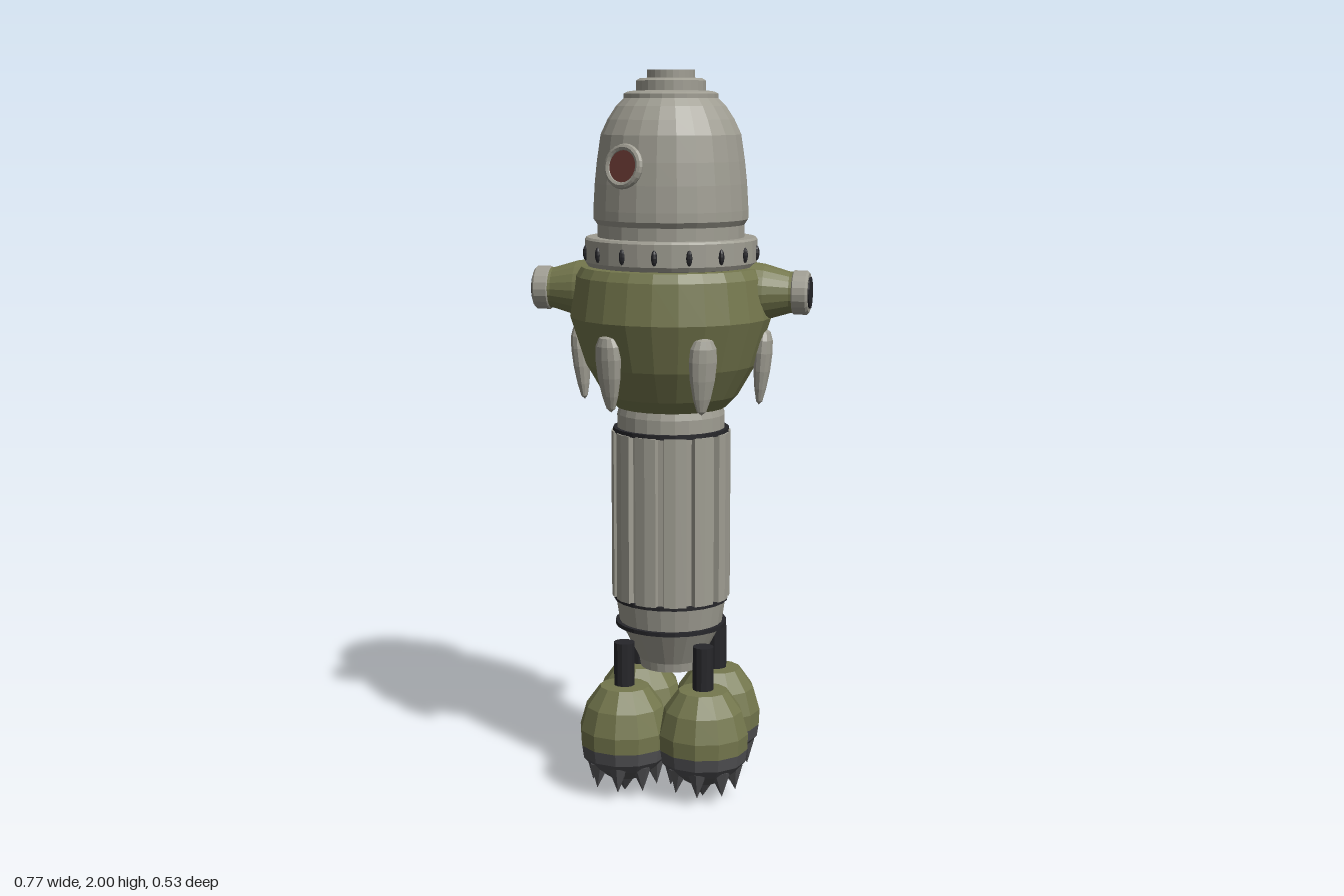
import * as THREE from 'three';

const mat = (name, color) => {
  const m = new THREE.MeshStandardMaterial({ color, flatShading: true });
  m.name = name;
  return m;
};

export function createModel() {
  const grey = mat('warm grey metal', 0x9f9d92);
  const olive = mat('olive paint', 0x74774d);
  const iron = mat('dark iron', 0x505053);
  const black = mat('black', 0x26262a);
  const maroon = mat('maroon glass', 0x6a3a34);

  const root = new THREE.Group();
  root.name = 'drillCapsule';
  root.scale.x = 1.045; // slightly oval in plan

  const add = (name, geo, material, parent = root) => {
    const m = new THREE.Mesh(geo, material);
    m.name = name;
    parent.add(m);
    return m;
  };
  // profile runs from bottom to top as [radius, y]
  const lathe = (pts, sides = 24) =>
    new THREE.LatheGeometry(pts.map(([r, y]) => new THREE.Vector2(r, y)), sides);
  const around = (n, start, fn) => {
    for (let i = 0; i < n; i++) fn(start + (i * Math.PI * 2) / n);
  };

  // Domed head with stepped cap
  add('head', lathe([[0.18, 1.55], [0.192, 1.555], [0.192, 1.59], [0.202, 1.605], [0.202, 1.63],
    [0.198, 1.7], [0.192, 1.76], [0.182, 1.83], [0.164, 1.87], [0.142, 1.905], [0.118, 1.93]]), grey);
  add('cap', lathe([[0.122, 1.926], [0.122, 1.938], [0.112, 1.943], [0.09, 1.946], [0.09, 1.972],
    [0.08, 1.978], [0.062, 1.979], [0.062, 2], [0, 2]]), grey);

  // Collar with studs
  add('collar', lathe([[0.2, 1.475], [0.218, 1.478], [0.225, 1.49], [0.225, 1.55], [0.22, 1.556], [0.18, 1.556]], 32), grey);
  around(16, 0, (a) => {
    const s = add('collarStud', new THREE.SphereGeometry(0.01, 8, 6), black);
    s.scale.set(0.8, 2.1, 0.8);
    s.position.set(Math.sin(a) * 0.225, 1.515, Math.cos(a) * 0.225);
    s.rotation.y = a;
  });

  // Portholes on opposite sides of the head
  for (const s of [1, -1]) {
    const p = new THREE.Group();
    p.name = 'porthole';
    const a = Math.atan2(-0.093 * s, 0.185 * s);
    p.rotation.set(-0.13, a, 0, 'YXZ');
    p.position.set(Math.sin(a) * 0.196, 1.75, Math.cos(a) * 0.196);
    root.add(p);
    add('portholeRim', new THREE.TorusGeometry(0.05, 0.01, 8, 24), grey, p);
    const glass = add('portholeGlass', new THREE.CylinderGeometry(0.046, 0.046, 0.009, 24), maroon, p);
    glass.rotation.x = Math.PI / 2;
    const seat = add('portholeSeat', new THREE.CylinderGeometry(0.052, 0.052, 0.03, 24), grey, p);
    seat.rotation.x = Math.PI / 2;
    seat.position.z = -0.016;
  }

  // Round olive body
  add('body', lathe([[0.1, 1.08], [0.145, 1.09], [0.178, 1.125], [0.225, 1.21], [0.265, 1.34],
    [0.249, 1.45], [0.235, 1.475], [0.15, 1.48]]), olive);

  // Side arms ending in nozzles
  for (const s of [1, -1]) {
    const arm = new THREE.Group();
    arm.name = s > 0 ? 'leftArm' : 'rightArm';
    arm.position.y = 1.41;
    arm.rotation.z = -s * Math.PI / 2;
    root.add(arm);
    add('armCone', lathe([[0.085, 0.19], [0.076, 0.25], [0.056, 0.315], [0.056, 0.325]], 20), olive, arm);
    add('nozzle', lathe([[0.03, 0.319], [0.052, 0.319], [0.06, 0.325], [0.06, 0.358], [0.054, 0.364], [0, 0.364]], 20), grey, arm);
    const mouth = add('nozzleMouth', new THREE.CylinderGeometry(0.043, 0.043, 0.008, 20), black, arm);
    mouth.position.y = 0.364;
  }

  // Six teardrop fins below the widest part of the body
  const finShape = lathe([[0, -0.105], [0.013, -0.095], [0.024, -0.06], [0.034, -0.01],
    [0.038, 0.04], [0.035, 0.075], [0.024, 0.097], [0, 0.105]], 12);
  around(6, Math.PI / 2, (a) => {
    const f = add('fin', finShape, grey);
    f.scale.z = 0.65;
    f.position.set(Math.sin(a) * 0.242, 1.205, Math.cos(a) * 0.242);
    f.rotation.set(0.07, a, 0, 'YXZ');
  });

  // Neck and fluted column
  add('neck', lathe([[0.143, 1.02], [0.143, 1.07], [0.135, 1.1]]), grey);
  add('upperBand', lathe([[0.1, 1.02], [0.154, 1.02], [0.154, 1.032], [0.1, 1.032]]), black);
  const flutes = new THREE.Shape();
  around(12, 0, (a) => {
    for (const [r, d] of [[0.143, -0.05], [0.143, 0.05], [0.157, 0.075], [0.159, 0.26], [0.157, Math.PI / 6 - 0.075]]) {
      const x = Math.cos(a + d) * r, y = Math.sin(a + d) * r;
      if (a === 0 && d === -0.05) flutes.moveTo(x, y);
      else flutes.lineTo(x, y);
    }
  });
  const column = add('flutedColumn', new THREE.ExtrudeGeometry(flutes, { depth: 0.47, bevelEnabled: false }), grey);
  column.rotation.x = -Math.PI / 2;
  column.position.y = 0.552;

  // Tapered base with thin bands
  add('middleBand', lathe([[0.1, 0.542], [0.153, 0.542], [0.153, 0.553], [0.1, 0.553]]), black);
  add('columnBase', lathe([[0, 0.345], [0.082, 0.345], [0.086, 0.37], [0.128, 0.455], [0.138, 0.475], [0.148, 0.545]]), grey);
  add('lowerBand', lathe([[0.1, 0.468], [0.15, 0.468], [0.15, 0.479], [0.1, 0.479]]), black);

  // Four drill pods at the corners, each with a strut and teeth
  const spike = new THREE.ConeGeometry(0.028, 0.07, 6);
  for (const sx of [1, -1]) for (const sz of [1, -1]) {
    const pod = new THREE.Group();
    pod.name = 'drillPod';
    pod.position.set(sx * 0.107, 0, sz * 0.106);
    root.add(pod);
    const strut = add('strut', new THREE.CylinderGeometry(0.028, 0.028, 0.16, 12), black, pod);
    strut.position.y = 0.355;
    add('podShell', lathe([[0.12, 0.145], [0.122, 0.19], [0.104, 0.255], [0.066, 0.31], [0, 0.314]], 12), olive, pod);
    add('podBit', lathe([[0, 0.04], [0.05, 0.05], [0.095, 0.085], [0.115, 0.11], [0.12, 0.147]], 12), iron, pod);
    const tip = add('centreTooth', new THREE.ConeGeometry(0.045, 0.07, 8), iron, pod);
    tip.rotation.x = Math.PI;
    tip.position.y = 0.035;
    around(8, 0, (a) => {
      const t = add('tooth', spike, iron, pod);
      t.position.set(Math.sin(a) * 0.084, 0.06, Math.cos(a) * 0.084);
      t.rotation.set(Math.PI - 0.12, a, 0, 'YXZ');
    });
  }
  return root;
}
